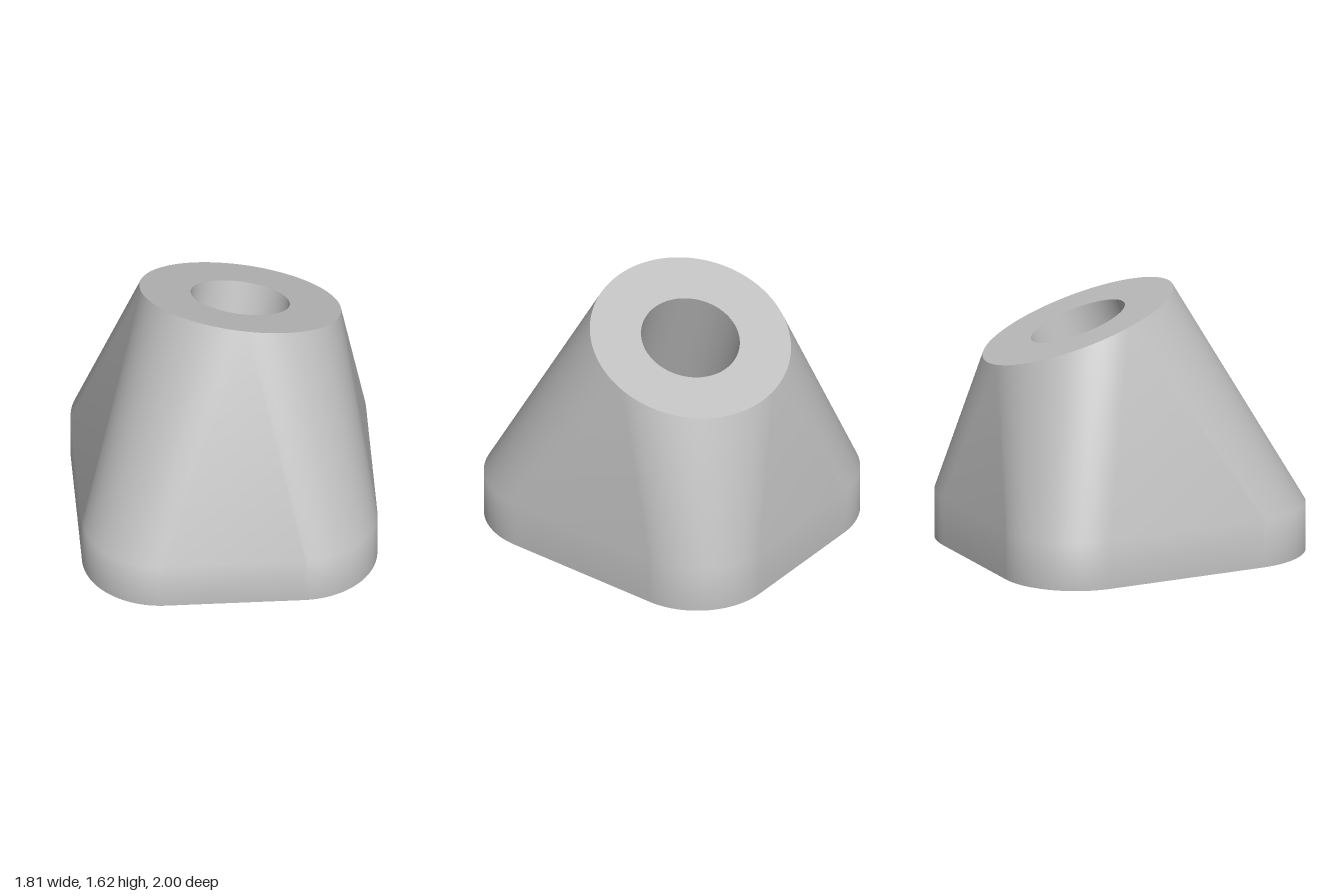
import * as THREE from 'three';

const HALF_X = 0.905, HALF_Z = 1, CORNER = 0.48, SLAB = 0.3;
const TOP_R = 0.623, BORE_R = 0.306, SINK_R = 0.366;
const CORNER_STEPS = 32;

// Tilted frame of the top face and bore
const centre = new THREE.Vector3(0.115, 1.405, -0.23);
const axis = new THREE.Vector3(0.15, 0.929, -0.307).normalize();
const u = new THREE.Vector3(1, 0, 0).addScaledVector(axis, -axis.x).normalize();
const v = new THREE.Vector3().crossVectors(axis, u);

// Point on a circle around the axis, a given distance below the top face
function axisPoint(radius, depth, t) {
  return centre.clone()
    .addScaledVector(axis, -depth)
    .addScaledVector(u, radius * Math.cos(t))
    .addScaledVector(v, radius * Math.sin(t));
}

// Slide a point along the axis to the floor
function toFloor(p) {
  return p.addScaledVector(axis, -p.y / axis.y);
}

// Rounded rectangle outline, with the outward direction at each point
function outline() {
  const points = [];
  for (let q = 0; q < 4; q++) {
    const sx = q === 0 || q === 3 ? 1 : -1;
    const sz = q < 2 ? -1 : 1;
    for (let i = 0; i <= CORNER_STEPS; i++) {
      const a = (q + i / CORNER_STEPS) * Math.PI / 2;
      const dx = Math.cos(a), dz = -Math.sin(a);
      points.push({
        x: sx * (HALF_X - CORNER) + CORNER * dx,
        z: sz * (HALF_Z - CORNER) + CORNER * dz,
        dx, dz,
      });
    }
  }
  return points;
}

// Angle on the top circle where the taut skin from an outline point touches it
function touchAngle(b) {
  let best = -Infinity, angle = 0;
  const n = 1440;
  for (let i = 0; i < n; i++) {
    const t = i / n * Math.PI * 2;
    const p = axisPoint(TOP_R, 0, t);
    const lean = ((p.x - b.x) * b.dx + (p.z - b.z) * b.dz) / (p.y - SLAB);
    if (lean > best) { best = lean; angle = t; }
  }
  return angle;
}

// Closed strips between successive rings
function loft(rings) {
  const n = rings[0].length;
  const positions = [], index = [];
  for (const ring of rings) for (const p of ring) positions.push(p.x, p.y, p.z);
  for (let r = 0; r < rings.length - 1; r++) {
    for (let i = 0; i < n; i++) {
      const j = (i + 1) % n;
      const a = r * n + i, b = r * n + j, c = b + n, d = a + n;
      index.push(a, b, c, a, c, d);
    }
  }
  const g = new THREE.BufferGeometry();
  g.setAttribute('position', new THREE.Float32BufferAttribute(positions, 3));
  g.setIndex(index);
  g.computeVertexNormals();
  return g;
}

export function createModel() {
  const group = new THREE.Group();
  group.name = 'taperedMount';
  const grey = new THREE.MeshStandardMaterial({ color: 0xbfbfbf });
  grey.name = 'light grey';

  const base = outline();
  const angles = base.map(touchAngle);
  const level = (y) => base.map((b) => new THREE.Vector3(b.x, y, b.z));
  const ring = (radius, depth) => angles.map((t) => axisPoint(radius, depth, t));

  const sinkDepth = (centre.y - 0.21) / axis.y;
  const floor = level(0);
  const topOuter = ring(TOP_R, 0);
  const topInner = ring(BORE_R, 0);
  const ledgeInner = ring(BORE_R, sinkDepth);
  const ledgeOuter = ring(SINK_R, sinkDepth);
  const floorRim = ledgeOuter.map((p) => toFloor(p.clone()));

  // Each surface is separate so its rims stay sharp
  const parts = {
    body: [floor, level(SLAB), topOuter],
    topFace: [topOuter, topInner],
    bore: [topInner, ledgeInner],
    counterboreLedge: [ledgeInner, ledgeOuter],
    counterbore: [ledgeOuter, floorRim],
    underside: [floorRim, floor],
  };
  for (const [name, rings] of Object.entries(parts)) {
    const mesh = new THREE.Mesh(loft(rings), grey);
    mesh.name = name;
    group.add(mesh);
  }
  return group;
}
